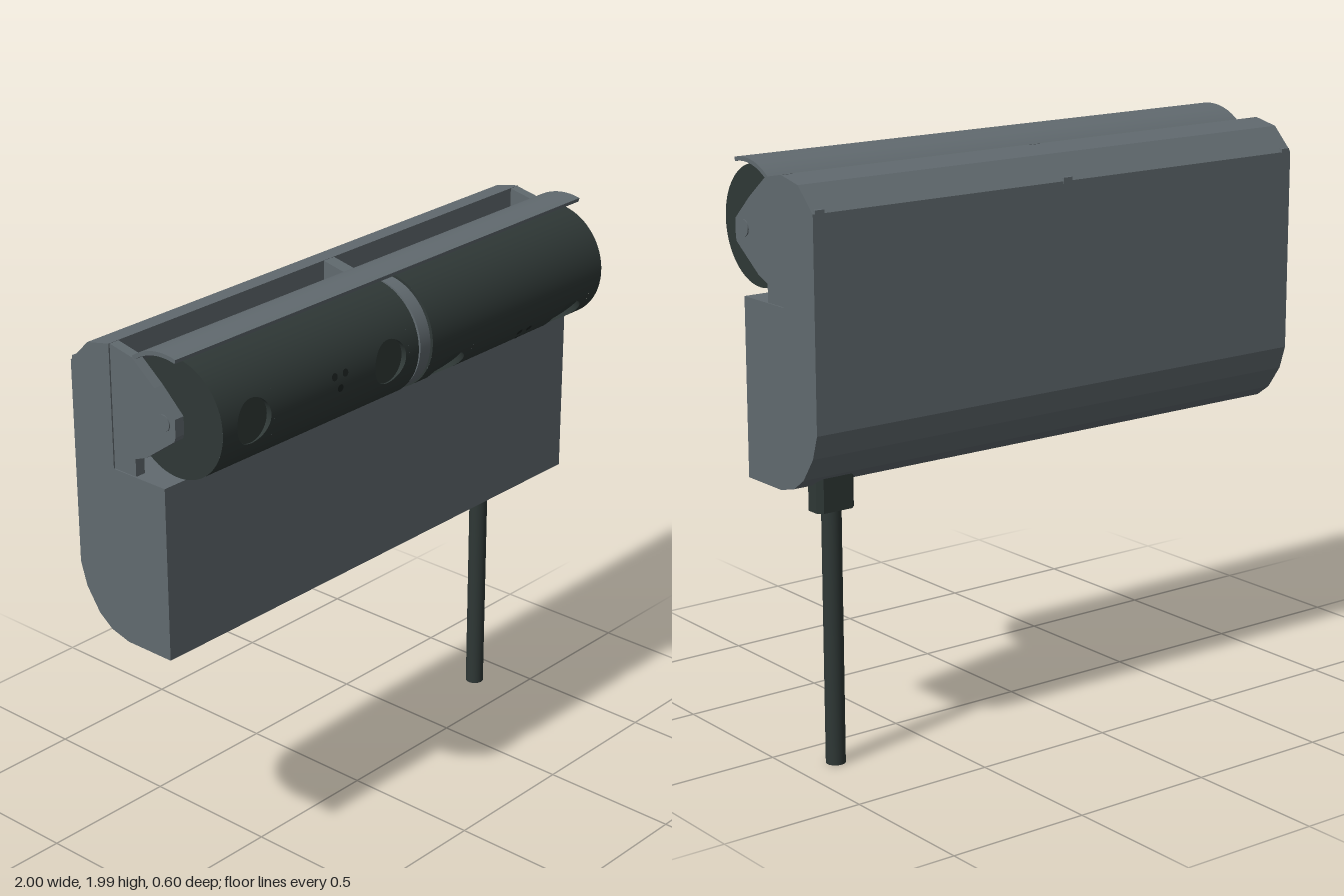
import * as THREE from 'three';
import { ParametricGeometry } from 'three/addons/geometries/ParametricGeometry.js';
import { toCreasedNormals } from 'three/addons/utils/BufferGeometryUtils.js';

const AXIS_Y = 1.76, AXIS_Z = 0.10, R = 0.20;

function material(name, color) {
  const m = new THREE.MeshStandardMaterial({ color });
  m.name = name;
  return m;
}

function addMesh(parent, name, geometry, mat, x = 0, y = 0, z = 0) {
  const mesh = new THREE.Mesh(geometry, mat);
  mesh.name = name;
  mesh.position.set(x, y, z);
  parent.add(mesh);
  return mesh;
}

// Extrude a side profile of [z, y] points between x0 and x1
function slab(points, x0, x1) {
  const shape = new THREE.Shape(points.map(p => new THREE.Vector2(p[0], p[1])));
  const g = new THREE.ExtrudeGeometry(shape, { depth: x1 - x0, bevelEnabled: false });
  return g.rotateY(-Math.PI / 2).translate(x1, 0, 0);
}

// Closed [z, y] outline of a curved shell around the drum axis, in degrees
function shellProfile(a0, a1, inner, outer) {
  const n = 20, pts = [];
  const add = (r, t) => {
    const a = THREE.MathUtils.degToRad(a0 + (a1 - a0) * t);
    pts.push([AXIS_Z + r * Math.cos(a), AXIS_Y + r * Math.sin(a)]);
  };
  for (let i = 0; i <= n; i++) add(outer, i / n);
  for (let i = n; i >= 0; i--) add(inner, i / n);
  return pts;
}

// Drum with two round, flat-bottomed wells on its front and three small holes
function makeDrum(name, mat, holeMat) {
  const g = new THREE.Group();
  g.name = name;
  const half = 0.4525, eyeX = 0.315, eyeR = 0.075, pad = 0.09, A = 0.45, floor = 0.18;
  const onDrum = (x, a, t) => t.set(x, R * Math.sin(a), R * Math.cos(a));
  const arc = (x0, x1, a0, a1, n) => new ParametricGeometry((u, v, t) =>
    onDrum(x0 + (x1 - x0) * u, a0 + (a1 - a0) * v, t), 1, n);

  addMesh(g, 'drumShell', arc(-half, half, A, 2 * Math.PI - A, 64), mat);
  const stops = [-half, -eyeX - pad, -eyeX + pad, eyeX - pad, eyeX + pad, half];
  for (let i = 0; i < 6; i += 2)
    addMesh(g, 'drumFrontStrip', arc(stops[i], stops[i + 1], -A, A, 16), mat);

  for (const x of [-eyeX, eyeX]) {
    const surround = new ParametricGeometry((u, v, t) => {
      const c = Math.cos(v * 2 * Math.PI), s = Math.sin(v * 2 * Math.PI);
      const k = 1 / Math.max(Math.abs(c), Math.abs(s));
      const a = THREE.MathUtils.lerp(Math.asin(eyeR * s / R), A * k * s, u);
      onDrum(x + THREE.MathUtils.lerp(eyeR, pad * k, u) * c, a, t);
    }, 4, 48);
    const wall = new ParametricGeometry((u, v, t) => {
      const c = Math.cos(v * 2 * Math.PI), h = eyeR * Math.sin(v * 2 * Math.PI);
      t.set(x + eyeR * c, h, THREE.MathUtils.lerp(floor, Math.sqrt(R * R - h * h), u));
    }, 1, 48);
    addMesh(g, 'wellSurround', surround, mat);
    addMesh(g, 'wellWall', wall, mat);
    addMesh(g, 'wellFloor', new THREE.CircleGeometry(eyeR, 48), mat, x, 0, floor);
  }

  for (const [dx, h] of [[-0.025, 0.032], [0.025, 0.032], [0, -0.012]]) {
    const dot = addMesh(g, 'smallHole', new THREE.CircleGeometry(0.013, 16), holeMat,
      0.075 + dx, h, Math.sqrt(R * R - h * h) + 0.001);
    dot.rotation.x = -Math.asin(h / R);
  }
  for (const s of [-1, 1]) {
    const cap = addMesh(g, 'drumEnd', new THREE.CircleGeometry(R, 72), mat, s * half);
    cap.rotation.y = s * Math.PI / 2;
  }
  return g;
}

export function createModel() {
  const model = new THREE.Group();
  const grey = material('casingGrey', 0x616a6f);
  const dark = material('drumDark', 0x2f3836);
  const black = material('holeBlack', 0x1c2221);

  // Casing: deep lower box with a taller back and softened rear corners
  addMesh(model, 'casing', slab([
    [0.10, 0.94], [0.10, 1.54], [-0.125, 1.54], [-0.125, 1.96], [-0.22, 1.94], [-0.30, 1.86],
    [-0.30, 1.16], [-0.275, 1.08], [-0.22, 1.0], [-0.165, 0.96], [-0.09, 0.94],
  ], -1, 1), grey);

  // Support arms at both ends and in the middle
  const arm = [
    [-0.13, 1.54], [-0.03, 1.54], [-0.03, 1.60], [0.02, 1.62], [0.145, 1.71], [0.15, 1.725],
    [0.15, 1.785], [0.065, 1.865], [-0.03, 1.94], [-0.13, 1.96],
  ];
  addMesh(model, 'rightArm', slab(arm, -0.995, -0.958), grey);
  addMesh(model, 'leftArm', slab(arm, 0.958, 0.995), grey);
  addMesh(model, 'middleArm', slab(arm, -0.025, 0.025), grey);

  // Divider disc between the drums and the pivot pin through the arms
  const across = (r, len, n) => new THREE.CylinderGeometry(r, r, len, n).rotateZ(Math.PI / 2);
  addMesh(model, 'dividerDisc', across(0.196, 0.05, 72), grey, 0, AXIS_Y, AXIS_Z);
  addMesh(model, 'pivotPin', across(0.028, 1.998, 24), grey, 0, AXIS_Y, AXIS_Z);

  // Drums: one aimed forward, one tilted down
  const rightDrum = makeDrum('rightDrum', dark, black);
  rightDrum.position.set(-0.49, AXIS_Y, AXIS_Z);
  const leftDrum = makeDrum('leftDrum', dark, black);
  leftDrum.position.set(0.485, AXIS_Y, AXIS_Z);
  leftDrum.rotation.x = Math.PI / 4;
  model.add(rightDrum, leftDrum);

  // Curved cover, notched at the back to clear the arms
  const shell = (a0, a1, x0, x1) =>
    toCreasedNormals(slab(shellProfile(a0, a1, 0.212, 0.226), x0, x1), 0.5);
  addMesh(model, 'cover', shell(76, 132, -0.99, 0.99), grey);
  for (const s of [-1, 1])
    addMesh(model, 'coverBack', shell(132, 190, s > 0 ? 0.025 : -0.955, s > 0 ? 0.955 : -0.025), grey);

  // Small catches along the upper rear edge
  for (const x of [-0.975, 0, 0.975])
    addMesh(model, 'rearCatch', new THREE.BoxGeometry(0.035, 0.02, 0.02), grey, x, 1.862, -0.292);

  // Cable and its chamfered fitting
  const w = 0.0725, d = 0.04, c = 0.018;
  const outline = new THREE.Shape([
    [-w + c, -d], [w - c, -d], [w, -d + c], [w, d - c],
    [w - c, d], [-w + c, d], [-w, d - c], [-w, -d + c],
  ].map(p => new THREE.Vector2(...p)));
  const fitting = new THREE.ExtrudeGeometry(outline, { depth: 0.16, bevelEnabled: false });
  fitting.rotateX(-Math.PI / 2);
  addMesh(model, 'cableFitting', fitting, dark, 0.857, 0.87, -0.16);
  addMesh(model, 'cable', new THREE.CylinderGeometry(0.033, 0.033, 0.88, 24), dark, 0.857, 0.44, -0.16);

  return model;
}
